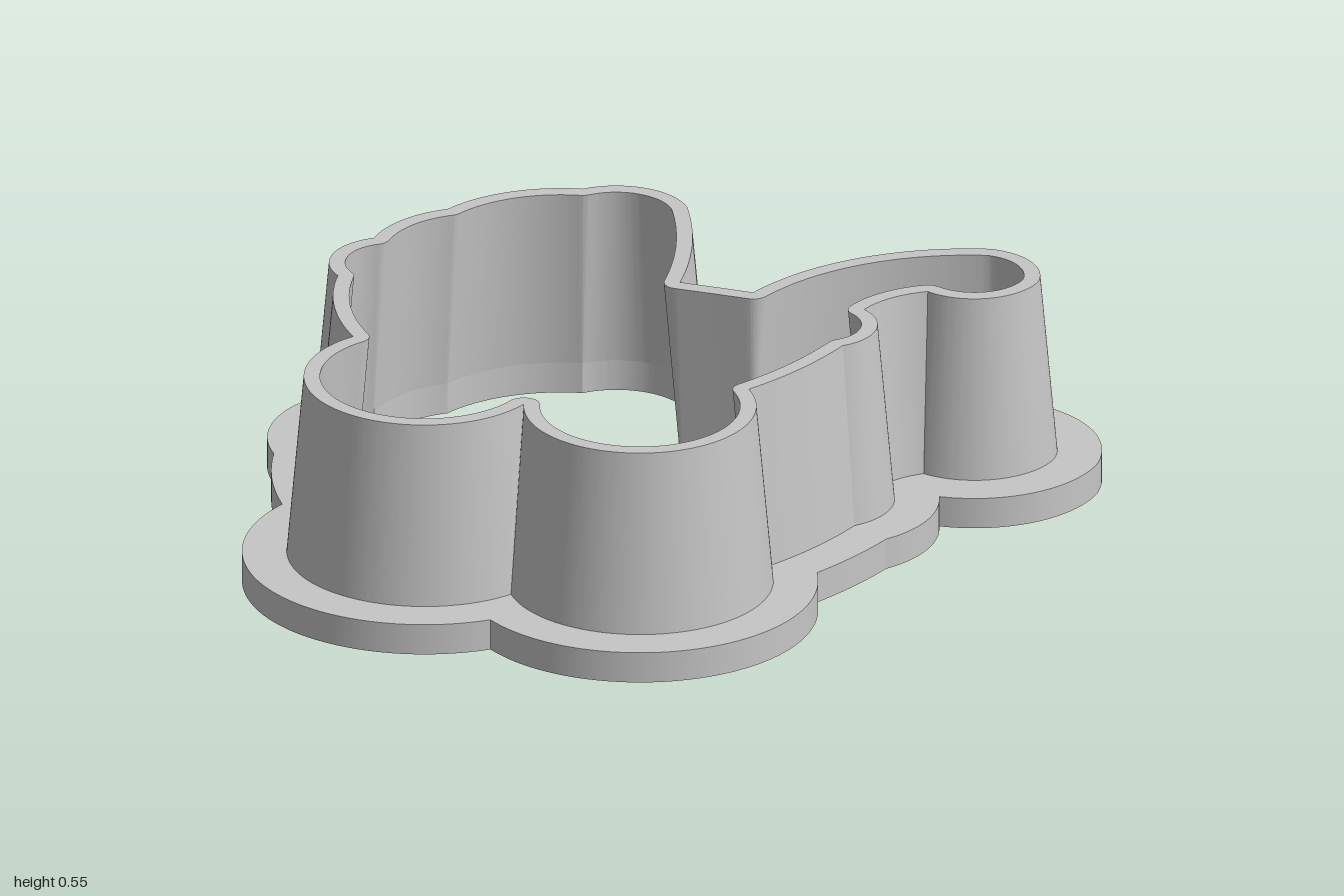
import * as THREE from 'three';
import { toCreasedNormals } from 'three/addons/utils/BufferGeometryUtils.js';

// Outline of the cutting rim as a chain of arcs: [viaX, viaZ, endX, endZ]
const START = [-0.11, 0.56];
const ARCS = [
  [0.16, 0.764, 0.385, 0.295],     // right front lobe
  [0.468, 0.13, 0.518, -0.03],     // right side
  [0.565, -0.14, 0.497, -0.255],   // small bump
  [0.54, -0.345, 0.61, -0.408],    // neck under the hook
  [0.80, -0.445, 0.848, -0.553],   // hook end
  [0.795, -0.66, 0.67, -0.702],
  [0.38, -0.542, 0.205, -0.264],   // hook back
  [0.11, -0.2645, 0.015, -0.264],  // notch floor
  [-0.035, -0.505, -0.115, -0.70], // tall lobe side
  [-0.26, -0.778, -0.395, -0.723], // tall lobe top
  [-0.55, -0.655, -0.67, -0.50],   // back left scallops
  [-0.755, -0.40, -0.785, -0.275],
  [-0.85, -0.15, -0.795, -0.03],
  [-0.745, 0.145, -0.64, 0.307],   // left side
  [-0.40, 0.775, -0.11, 0.56],     // left front lobe
];

// Points and outward normals along the arc through a, b and c
function arcSamples(a, b, c) {
  const [ax, ay] = a, [bx, by] = b, [cx, cy] = c;
  const D = 2 * (ax * (by - cy) + bx * (cy - ay) + cx * (ay - by));
  const A = ax * ax + ay * ay, B = bx * bx + by * by, C = cx * cx + cy * cy;
  const ox = (A * (by - cy) + B * (cy - ay) + C * (ay - by)) / D;
  const oy = (A * (cx - bx) + B * (ax - cx) + C * (bx - ax)) / D;
  const r = Math.hypot(ax - ox, ay - oy);
  const turn = (t) => ((t % (2 * Math.PI)) + 2 * Math.PI) % (2 * Math.PI);
  const t0 = Math.atan2(ay - oy, ax - ox);
  let sweep = turn(Math.atan2(cy - oy, cx - ox) - t0);
  if (turn(Math.atan2(by - oy, bx - ox) - t0) > sweep) sweep -= 2 * Math.PI;
  const n = Math.max(6, Math.ceil(Math.abs(sweep) * r / 0.008));
  const s = -Math.sign(sweep);
  const out = [];
  for (let i = 0; i <= n; i++) {
    const t = t0 + sweep * i / n, ux = Math.cos(t), uy = Math.sin(t);
    out.push({ x: ox + r * ux, z: oy + r * uy, nx: s * ux, nz: s * uy });
  }
  return out;
}

// Whole outline, with a fan of normals at every corner
function makeOutline() {
  let from = START;
  const pieces = ARCS.map(([vx, vz, ex, ez]) => {
    const piece = arcSamples(from, [vx, vz], [ex, ez]);
    from = [ex, ez];
    return piece;
  });
  const outline = [];
  pieces.forEach((piece, k) => {
    outline.push(...piece);
    const p = piece[piece.length - 1], q = pieces[(k + 1) % pieces.length][0];
    const a = Math.atan2(p.nz, p.nx);
    let da = Math.atan2(q.nz, q.nx) - a;
    da = Math.atan2(Math.sin(da), Math.cos(da));
    for (let i = 1; i < 12; i++) {
      const t = a + da * i / 12;
      outline.push({ x: p.x, z: p.z, nx: Math.cos(t), nz: Math.sin(t) });
    }
  });
  return outline;
}

// Offset loop; stretches that cross the outline's offset collapse to a corner
function offsetLoop(outline, d) {
  const n = outline.length, limit = Math.max(0, Math.abs(d) - 1e-6) ** 2;
  const moved = outline.map((p) => [p.x + d * p.nx, p.z + d * p.nz]);
  const kept = moved.map(([x, z]) =>
    outline.every((q) => (q.x - x) ** 2 + (q.z - z) ** 2 >= limit));
  return moved.map((p, i) => {
    if (kept[i]) return p;
    let a = i, b = i;
    while (!kept[a]) a = (a + n - 1) % n;
    while (!kept[b]) b = (b + 1) % n;
    // corner where the tangents at both ends of the stretch meet
    const [ax, az] = moved[a], [bx, bz] = moved[b], u = outline[a], v = outline[b];
    const det = u.nx * v.nz - u.nz * v.nx;
    if (Math.abs(det) < 0.15) return [(ax + bx) / 2, (az + bz) / 2];
    const ca = u.nx * ax + u.nz * az, cb = v.nx * bx + v.nz * bz;
    return [(ca * v.nz - cb * u.nz) / det, (u.nx * cb - v.nx * ca) / det];
  });
}

// Skin through a list of [loop, height] rings
function loft(rings) {
  const pos = [];
  const tri = (a, b, c) => {
    const area = b.clone().sub(a).cross(c.clone().sub(a)).length();
    if (area > 1e-9) for (const v of [a, b, c]) pos.push(v.x, v.y, v.z);
  };
  for (let k = 0; k + 1 < rings.length; k++) {
    const [lo, y0] = rings[k], [hi, y1] = rings[k + 1], n = lo.length;
    for (let i = 0; i < n; i++) {
      const j = (i + 1) % n;
      const a = new THREE.Vector3(lo[i][0], y0, lo[i][1]);
      const b = new THREE.Vector3(lo[j][0], y0, lo[j][1]);
      const c = new THREE.Vector3(hi[j][0], y1, hi[j][1]);
      const d = new THREE.Vector3(hi[i][0], y1, hi[i][1]);
      tri(a, b, c);
      tri(a, c, d);
    }
  }
  const geo = new THREE.BufferGeometry();
  geo.setAttribute('position', new THREE.Float32BufferAttribute(pos, 3));
  return toCreasedNormals(geo, 0.35);
}

export function createModel() {
  const group = new THREE.Group();
  group.name = 'cookieCutter';
  const grey = new THREE.MeshStandardMaterial({ color: 0xc6c6c6 });
  grey.name = 'grey plastic';

  const outline = makeOutline();
  const inner = offsetLoop(outline, -0.04);
  const rim = offsetLoop(outline, 0);
  const foot = offsetLoop(outline, 0.042);
  const edge = offsetLoop(outline, 0.152);
  const BASE = 0.08, TOP = 0.55;

  // Flat flange around the foot of the wall
  const flange = new THREE.Mesh(
    loft([[rim, BASE], [rim, 0], [edge, 0], [edge, BASE], [foot, BASE]]), grey);
  flange.name = 'flange';

  // Wall of even thickness, leaning inward from foot to rim
  const wall = new THREE.Mesh(
    loft([[foot, BASE], [rim, TOP], [inner, TOP], [rim, BASE]]), grey);
  wall.name = 'cuttingWall';

  group.add(flange, wall);
  return group;
}
